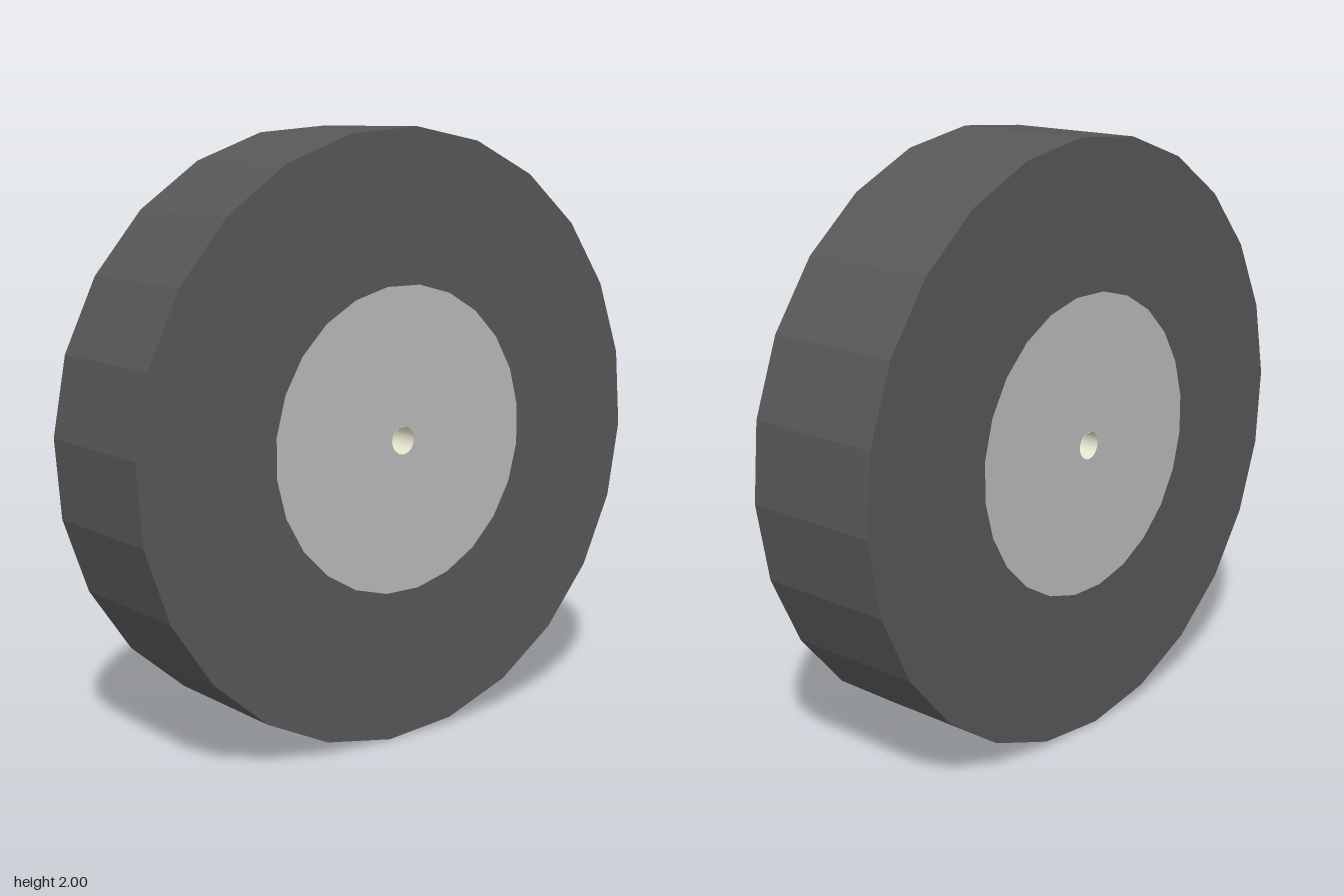
import * as THREE from 'three';

const WIDTH = 0.484;
const TYRE_R = 1.0, HUB_R = 0.504, BORE_R = 0.046;
const DEG = Math.PI / 180;

// corners of a regular polygon
function ring(radius, sides, startDeg) {
  return Array.from({ length: sides }, (_, i) => {
    const a = startDeg * DEG + (i / sides) * Math.PI * 2;
    return new THREE.Vector2(radius * Math.cos(a), radius * Math.sin(a));
  });
}

// flat-faced disc with a hole, its axis along x
function disc(name, outer, hole, color) {
  const shape = new THREE.Shape(outer);
  shape.holes.push(new THREE.Path(hole));
  const geometry = new THREE.ExtrudeGeometry(shape, { depth: WIDTH, bevelEnabled: false });
  geometry.translate(0, 0, -WIDTH / 2).rotateY(Math.PI / 2);
  const mesh = new THREE.Mesh(geometry, new THREE.MeshStandardMaterial({ color, flatShading: true }));
  mesh.name = name;
  return mesh;
}

export function createModel() {
  const wheel = new THREE.Group();
  wheel.name = 'wheel';
  const hubEdge = ring(HUB_R, 24, 7.5);
  const boreEdge = ring(BORE_R, 32, 0);

  // dark tyre, and the pale hub set flush inside it
  wheel.add(disc('tyre', ring(TYRE_R, 24, -2.9), hubEdge, 0x575757));
  wheel.add(disc('hub', hubEdge, boreEdge, 0xb8b8b8));

  // cream lining of the axle hole
  const lining = new THREE.CylinderGeometry(BORE_R - 0.001, BORE_R - 0.001, WIDTH, 32, 1, true);
  lining.rotateZ(Math.PI / 2);
  const bore = new THREE.Mesh(lining, new THREE.MeshStandardMaterial({ color: 0xe6e6cf, side: THREE.DoubleSide }));
  bore.name = 'axleBore';
  wheel.add(bore);

  wheel.position.y = 1;
  const model = new THREE.Group();
  model.add(wheel);
  return model;
}
